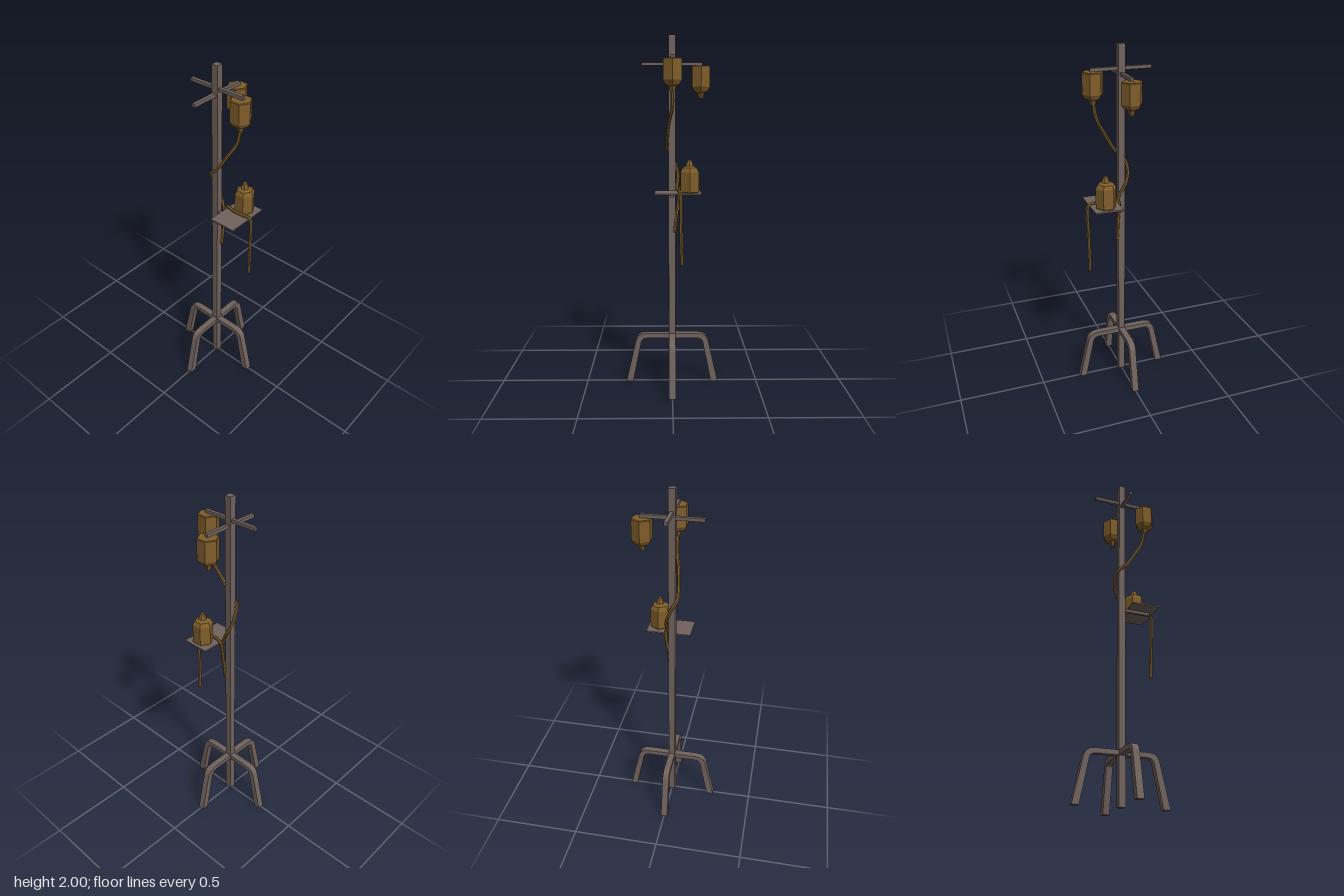
import * as THREE from 'three';

export function createModel() {
  const model = new THREE.Group();
  const metal = new THREE.MeshStandardMaterial({ color: 0x70625d, flatShading: true });
  metal.name = 'grey metal';
  const amber = new THREE.MeshStandardMaterial({ color: 0x7f5d2a, flatShading: true });
  amber.name = 'amber brown';

  const add = (name, geometry, material, x = 0, y = 0, z = 0) => {
    const mesh = new THREE.Mesh(geometry, material);
    mesh.name = name;
    mesh.position.set(x, y, z);
    model.add(mesh);
    return mesh;
  };
  const box = (name, w, h, d, x, y, z) =>
    add(name, new THREE.BoxGeometry(w, h, d), metal, x, y, z);

  // Pole and the two crossed hanger bars
  box('pole', 0.038, 2, 0.038, 0, 1, 0);
  box('sideHangerBar', 0.34, 0.018, 0.02, 0, 1.844, 0);
  box('frontHangerBar', 0.02, 0.018, 0.34, 0, 1.874, 0);

  // Four bent legs, one profile turned around the pole
  const profile = [
    [0, 0.267], [0.145, 0.267], [0.168, 0.262], [0.18, 0.247], [0.23, 0],
    [0.27, 0], [0.212, 0.255], [0.2, 0.277], [0.18, 0.29], [0.15, 0.295], [0, 0.295],
  ].map(([x, y]) => new THREE.Vector2(x, y));
  const legGeometry = new THREE.ExtrudeGeometry(new THREE.Shape(profile),
    { depth: 0.038, bevelEnabled: false });
  legGeometry.translate(0, 0, -0.019);
  for (let i = 0; i < 4; i++) {
    add('leg', legGeometry, metal).rotation.y = i * Math.PI / 2;
  }

  // Tray on its short bracket
  box('tray', 0.257, 0.008, 0.16, 0.032, 1.138, 0.118);
  box('trayBracket', 0.02, 0.016, 0.175, 0, 1.126, 0.0875);

  // Six-sided bottles: two hang upside down, one stands on the tray
  const bottleGeometry = new THREE.LatheGeometry([
    [0, 0], [0.054, 0], [0.058, 0.004], [0.058, 0.115], [0.045, 0.137],
    [0.024, 0.147], [0.02, 0.158], [0.012, 0.178], [0, 0.178],
  ].map(([r, y]) => new THREE.Vector2(r, y)), 6);
  add('frontHangingBottle', bottleGeometry, amber, 0, 1.864, 0.155).rotation.x = Math.PI;
  add('sideHangingBottle', bottleGeometry, amber, 0.16, 1.834, -0.002).rotation.x = Math.PI;
  add('standingBottle', bottleGeometry, amber, 0.095, 1.142, 0.12);

  // Flexible hoses
  const hose = (name, points, segments) => {
    const curve = new THREE.CatmullRomCurve3(
      points.map((p) => new THREE.Vector3(...p)), false, 'centripetal');
    add(name, new THREE.TubeGeometry(curve, segments, 0.0095, 6), amber)
      .material.side = THREE.DoubleSide;
  };
  // Winds from the front bottle around the back of the pole to the tray
  hose('windingHose', [
    [0, 1.7, 0.155], [0, 1.61, 0.135], [-0.018, 1.52, 0.085], [-0.03, 1.42, 0.022],
    [-0.028, 1.38, -0.022], [-0.005, 1.345, -0.036], [0.018, 1.29, -0.036],
    [0.034, 1.23, -0.012], [0.028, 1.17, 0.022], [0.026, 1.14, 0.028],
  ], 30);
  // Lies across the tray with both ends hanging down
  hose('drapedHose', [
    [0.014, 0.9, 0.026], [0.03, 1.03, 0.026], [0.045, 1.135, 0.026], [0.046, 1.151, 0.034],
    [0.034, 1.152, 0.1], [0.036, 1.152, 0.16], [0.042, 1.151, 0.2],
    [0.044, 1.135, 0.209], [0.047, 0.95, 0.207], [0.052, 0.75, 0.204],
  ], 44);

  return model;
}
